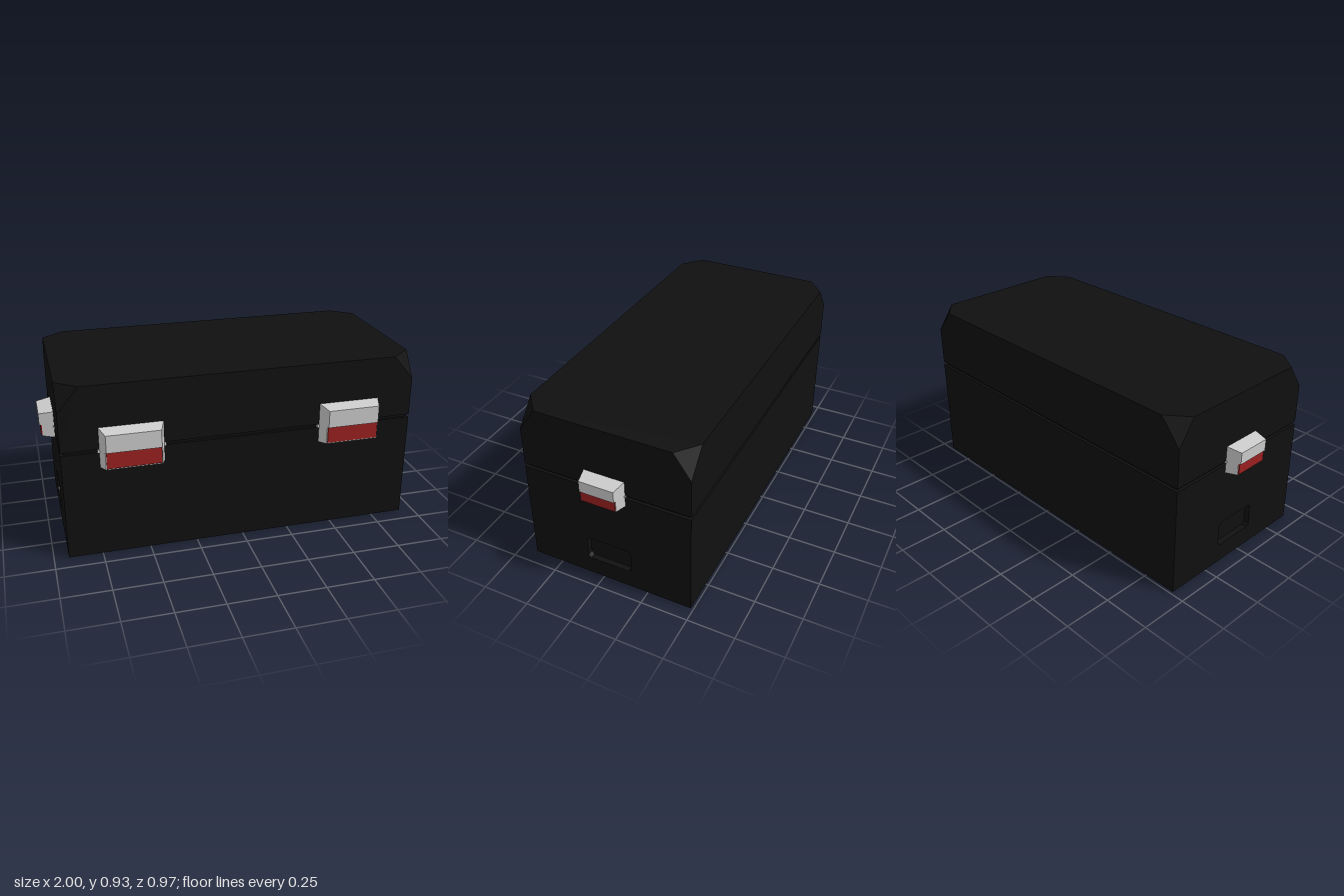
import * as THREE from 'three';
import { ConvexGeometry } from 'three/addons/geometries/ConvexGeometry.js';

const W = 0.925, ZF = 0.41, ZB = -0.485, ZC = (ZF + ZB) / 2, D = ZF - ZB;
const SEAM0 = 0.573, SEAM1 = 0.59, TOP = 0.925;

const black = new THREE.MeshStandardMaterial({ color: 0x101010, flatShading: true });
const grey = new THREE.MeshStandardMaterial({ color: 0xcccccc, flatShading: true });
const red = new THREE.MeshStandardMaterial({ color: 0x9a2020, flatShading: true });

function add(parent, name, geometry, material, x = 0, y = 0, z = 0) {
  const mesh = new THREE.Mesh(geometry, material);
  mesh.name = name;
  mesh.position.set(x, y, z);
  parent.add(mesh);
  return mesh;
}

// Block from y0 to y1 whose front face is narrowed, and whose outer edge (y away from 0) is pulled in
function taperedBlock(halfWidth, yInner, yOuter, depth, insetX, insetY) {
  const y0 = Math.min(yInner, yOuter), y1 = Math.max(yInner, yOuter);
  const g = new THREE.BoxGeometry(halfWidth * 2, y1 - y0, depth);
  g.translate(0, (y0 + y1) / 2, depth / 2);
  const p = g.attributes.position;
  for (let i = 0; i < p.count; i++) {
    if (p.getZ(i) < depth / 2) continue;
    p.setX(i, p.getX(i) - Math.sign(p.getX(i)) * insetX);
    if (Math.abs(p.getY(i) - yOuter) < 1e-4) p.setY(i, yOuter - Math.sign(yOuter) * insetY);
  }
  g.computeVertexNormals();
  return g;
}

// Latch with its back on z = 0
function makeLatch(name) {
  const latch = new THREE.Group();
  latch.name = name;
  add(latch, 'latchUpper', taperedBlock(0.162, 0, 0.1075, 0.075, 0.025, 0.015), grey);
  add(latch, 'latchLower', taperedBlock(0.162, 0, -0.1075, 0.062, 0.021, 0.013), grey);
  add(latch, 'latchRedPlate', new THREE.BoxGeometry(0.274, 0.087, 0.012), red, 0, -0.0436, 0.062);
  add(latch, 'latchPin', new THREE.BoxGeometry(0.342, 0.017, 0.022), grey, 0, -0.016, -0.006);
  return latch;
}

// Side slab with a handle recess; drawn with shape x running along model -z
function sidePanel(thickness) {
  const s = new THREE.Shape();
  s.moveTo(-ZF, 0);
  s.lineTo(-ZB, 0);
  s.lineTo(-ZB, SEAM0);
  s.lineTo(-ZF, SEAM0);
  s.closePath();
  const a = -0.085, b = 0.16, y0 = 0.1, y1 = 0.235, c = 0.015;
  const hole = new THREE.Path();
  hole.moveTo(a + c, y0);
  hole.lineTo(a, y0 + c);
  hole.lineTo(a, y1 - c);
  hole.lineTo(a + c, y1);
  hole.lineTo(b - c, y1);
  hole.lineTo(b, y1 - c);
  hole.lineTo(b, y0 + c);
  hole.lineTo(b - c, y0);
  hole.closePath();
  s.holes.push(hole);
  const g = new THREE.ExtrudeGeometry(s, { depth: thickness, bevelEnabled: false });
  return g.rotateY(Math.PI / 2);
}

export function createModel() {
  const model = new THREE.Group();
  model.name = 'storageCase';

  // Lower body: core plus side slabs carrying the handle recesses
  const slab = 0.03;
  add(model, 'lowerBody', new THREE.BoxGeometry((W - slab) * 2, SEAM0, D), black, 0, SEAM0 / 2, ZC);
  add(model, 'leftSidePanel', sidePanel(slab), black, W - slab, 0, 0);
  add(model, 'rightSidePanel', sidePanel(slab), black, -W, 0, 0);

  // Inset seam between body and lid
  add(model, 'seam', new THREE.BoxGeometry((W - 0.015) * 2, 0.06, D - 0.03), black, 0, (SEAM0 + SEAM1) / 2, ZC);

  // Lid with its four top corners cut off
  const pts = [];
  const cx = 0.11, cy = 0.13, cz = 0.09;
  for (const sx of [-1, 1]) for (const sz of [-1, 1]) {
    const z = ZC + sz * D / 2, x = sx * W;
    pts.push(new THREE.Vector3(x, SEAM1, z), new THREE.Vector3(x, TOP - cy, z),
      new THREE.Vector3(x - sx * cx, TOP, z), new THREE.Vector3(x, TOP, z - sz * cz));
  }
  add(model, 'lid', new ConvexGeometry(pts), black);

  // Front and side latches
  for (const s of [-1, 1]) {
    const side = s > 0 ? 'left' : 'right';
    const front = makeLatch(side + 'FrontLatch');
    front.position.set(s * 0.573, 0.5975, ZF);
    model.add(front);

    const end = makeLatch(side + 'SideLatch');
    end.position.set(s * W, 0.5985, -0.0375);
    end.rotation.y = s * Math.PI / 2;
    end.scale.set(0.67, 0.67, 1);
    model.add(end);
  }
  return model;
}
